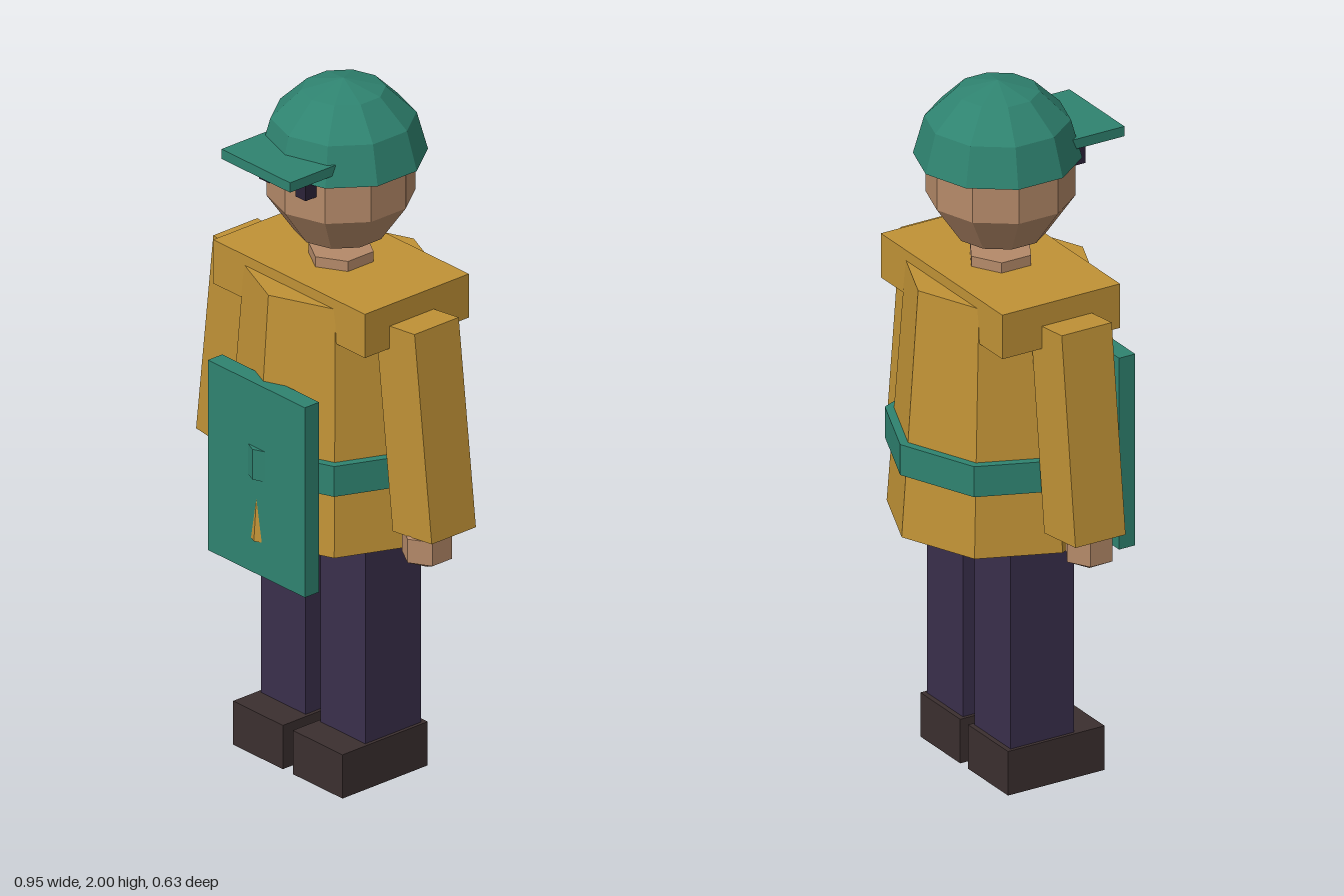
import * as THREE from 'three';

const mat = (name, color) => {
  const m = new THREE.MeshStandardMaterial({ color, flatShading: true });
  m.name = name;
  return m;
};

export function createModel() {
  const root = new THREE.Group();
  root.name = 'worker';

  const green = mat('green', 0x2f8370);
  const ochre = mat('ochre', 0xc09236);
  const skin = mat('skin', 0xb58a69);
  const purple = mat('dark purple', 0x3a2f4c);
  const brown = mat('dark brown', 0x3b2f2f);
  const eyeColor = mat('eye', 0x2b2238);

  const add = (name, geometry, material, x, y, z) => {
    const mesh = new THREE.Mesh(geometry, material);
    mesh.name = name;
    mesh.position.set(x, y, z);
    root.add(mesh);
    return mesh;
  };
  // Box given by its limits on each axis
  const box = (name, material, x0, x1, y0, y1, z0, z1) =>
    add(name, new THREE.BoxGeometry(x1 - x0, y1 - y0, z1 - z0), material,
      (x0 + x1) / 2, (y0 + y1) / 2, (z0 + z1) / 2);
  // Upright prism or frustum with a corner facing the front
  const prism = (name, material, rTop, rBottom, y0, y1, sides) =>
    add(name, new THREE.CylinderGeometry(rTop, rBottom, y1 - y0, sides), material, 0, (y0 + y1) / 2, 0);
  // Faceted ball with a corner facing the front
  const ball = (name, material, r, ry, sides, rings, x, y, z) => {
    const g = new THREE.SphereGeometry(r, sides, rings);
    g.rotateY(Math.PI / 2);
    g.scale(1, ry / r, 1);
    return add(name, g, material, x, y, z);
  };

  // Coat, belt, shoulders and apron
  prism('coat', ochre, 0.26, 0.312, 0.725, 1.44, 8);
  prism('belt', green, 0.317, 0.317, 0.91, 1.0, 8);
  box('shoulders', ochre, -0.305, 0.305, 1.34, 1.47, -0.186, 0.186);
  box('apron', green, -0.195, 0.195, 0.625, 1.19, 0.252, 0.303);

  // Limbs and eyes on both sides
  for (const [side, s] of [['left', 1], ['right', -1]]) {
    add(side + 'Leg', new THREE.BoxGeometry(0.18, 0.68, 0.2), purple, s * 0.12, 0.46, 0);
    add(side + 'Shoe', new THREE.BoxGeometry(0.2, 0.13, 0.305), brown, s * 0.12, 0.065, 0.038);
    const arm = add(side + 'Arm', new THREE.BoxGeometry(0.158, 0.603, 0.158), ochre, s * 0.361, 1.109, 0.018);
    arm.rotation.z = s * 0.115;
    ball(side + 'Hand', skin, 0.081, 0.07, 6, 3, s * 0.388, 0.771, 0.037);
    add(side + 'Eye', new THREE.BoxGeometry(0.04, 0.05, 0.04), eyeColor, s * 0.073, 1.762, 0.19);
  }

  // Neck and head
  prism('neck', skin, 0.092, 0.092, 1.4, 1.5, 6);
  ball('head', skin, 0.211, 0.22, 10, 5, 0, 1.731, 0);

  // Cap: three-step dome with a closed underside, and a flat brim
  const R = 0.227, H = 0.222;
  const profile = [new THREE.Vector2(0, 0)];
  for (let i = 0; i <= 3; i++) {
    const a = (i * Math.PI) / 6;
    profile.push(new THREE.Vector2(i === 3 ? 0 : R * Math.cos(a), H * Math.sin(a)));
  }
  add('cap', new THREE.LatheGeometry(profile, 10), green, 0, 1.778, -0.009);
  box('brim', green, -0.138, 0.138, 1.81, 1.839, 0.142, 0.305);

  return root;
}
